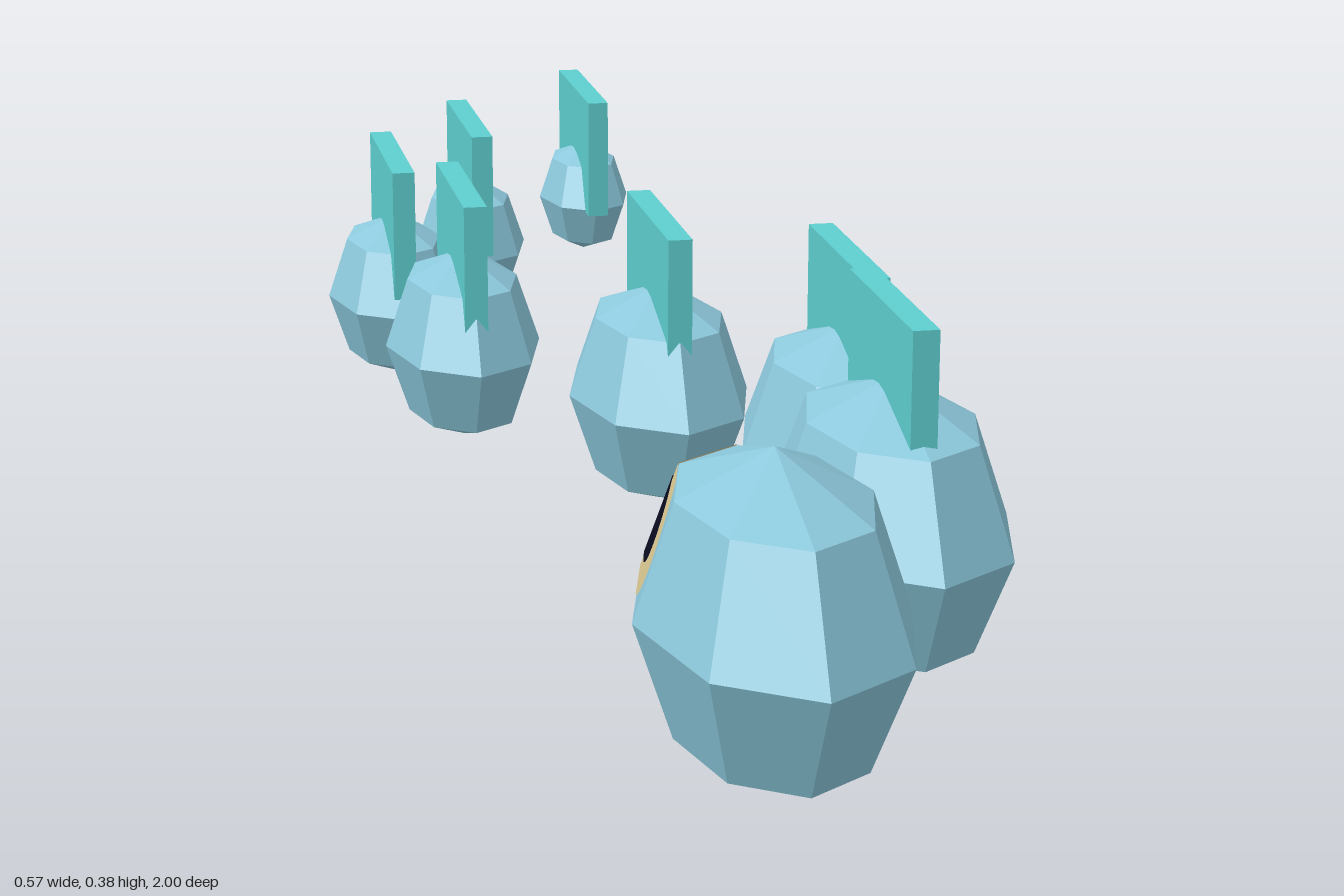
import * as THREE from 'three';

const CENTER_Y = 0.16;
const SEGMENT_X = [-0.01, 0.16, 0.176, 0.026, -0.157, -0.208, -0.081, 0.108];
const radii = (i) => {
  const rz = 0.217 - 0.0165 * i;
  return new THREE.Vector3(rz * 0.59, rz * 0.728, rz);
};

function material(name, color, side = THREE.FrontSide) {
  const m = new THREE.MeshStandardMaterial({ color, flatShading: true, side });
  m.name = name;
  return m;
}

// Point on the head's faceted band: a counts facets from the back, t runs equator to upper ring
function bandPoint(a, t, lift) {
  const corner = (k, ring) => {
    const phi = (k * Math.PI) / 4, c = ring ? Math.SQRT1_2 : 1;
    return new THREE.Vector3(-Math.sin(phi) * c, ring ? Math.SQRT1_2 : 0, -Math.cos(phi) * c);
  };
  const k = a < 1 ? 0 : 1;
  const low = corner(k, 0).lerp(corner(k + 1, 0), a - k);
  const high = corner(k, 1).lerp(corner(k + 1, 1), a - k);
  return low.lerp(high, t).multiply(radii(0)).multiplyScalar(lift);
}

// Oval patch folded over the edge between two facets, clipped to the band
function eyePatch(rxBack, rxSide, ry, lift) {
  const pos = [], steps = 16;
  for (const [sign, rx] of [[-1, rxBack], [1, rxSide]]) {
    const at = (i) => {
      const ang = -Math.PI / 2 + (Math.PI * i) / steps;
      const d = Math.min(rx * Math.cos(ang), 1);
      const t = THREE.MathUtils.clamp(0.5 + ry * Math.sin(ang), 0, 1);
      // stay within the chosen facet while measuring from the shared edge
      return bandPoint(sign < 0 ? Math.min(1 - d, 0.99999) : 1 + d, t, lift);
    };
    const hub = bandPoint(sign < 0 ? 0.99999 : 1, 0.5, lift);
    for (let i = 0; i < steps; i++) {
      const tri = sign < 0 ? [hub, at(i + 1), at(i)] : [hub, at(i), at(i + 1)];
      for (const p of tri) pos.push(p.x, p.y, p.z);
    }
  }
  const g = new THREE.BufferGeometry();
  g.setAttribute('position', new THREE.Float32BufferAttribute(pos, 3));
  g.computeVertexNormals();
  return g;
}

export function createModel() {
  const model = new THREE.Group();
  model.name = 'segmentedSerpent';
  const skin = material('paleBlueSkin', 0x8cc8dc);
  const finMat = material('turquoiseFin', 0x5ecece);
  const tan = material('tanEye', 0xd8c690, THREE.DoubleSide);
  const dark = material('darkPupil', 0x0a0a20, THREE.DoubleSide);

  const add = (name, geometry, mat, x, y, z) => {
    const mesh = new THREE.Mesh(geometry, mat);
    mesh.name = name;
    mesh.position.set(x, y, z);
    model.add(mesh);
  };

  // Head and tapering body, with an upright fin on each body segment
  SEGMENT_X.forEach((x, i) => {
    const r = radii(i), z = 0.782 - 0.2377 * i;
    const ball = new THREE.SphereGeometry(1, 8, 4).scale(r.x, r.y, r.z);
    add(i ? 'bodySegment' + i : 'head', ball, skin, x, CENTER_Y, z);
    if (i) add('fin' + i, new THREE.BoxGeometry(0.026, 0.153, 0.235), finMat, x, CENTER_Y + r.y, z);
  });

  // Painted eye on the head
  add('eye', eyePatch(2.2, 0.9, 0.62, 1.006), tan, SEGMENT_X[0], CENTER_Y, 0.782);
  add('pupil', eyePatch(0.62, 0.58, 0.37, 1.014), dark, SEGMENT_X[0], CENTER_Y, 0.782);
  return model;
}
